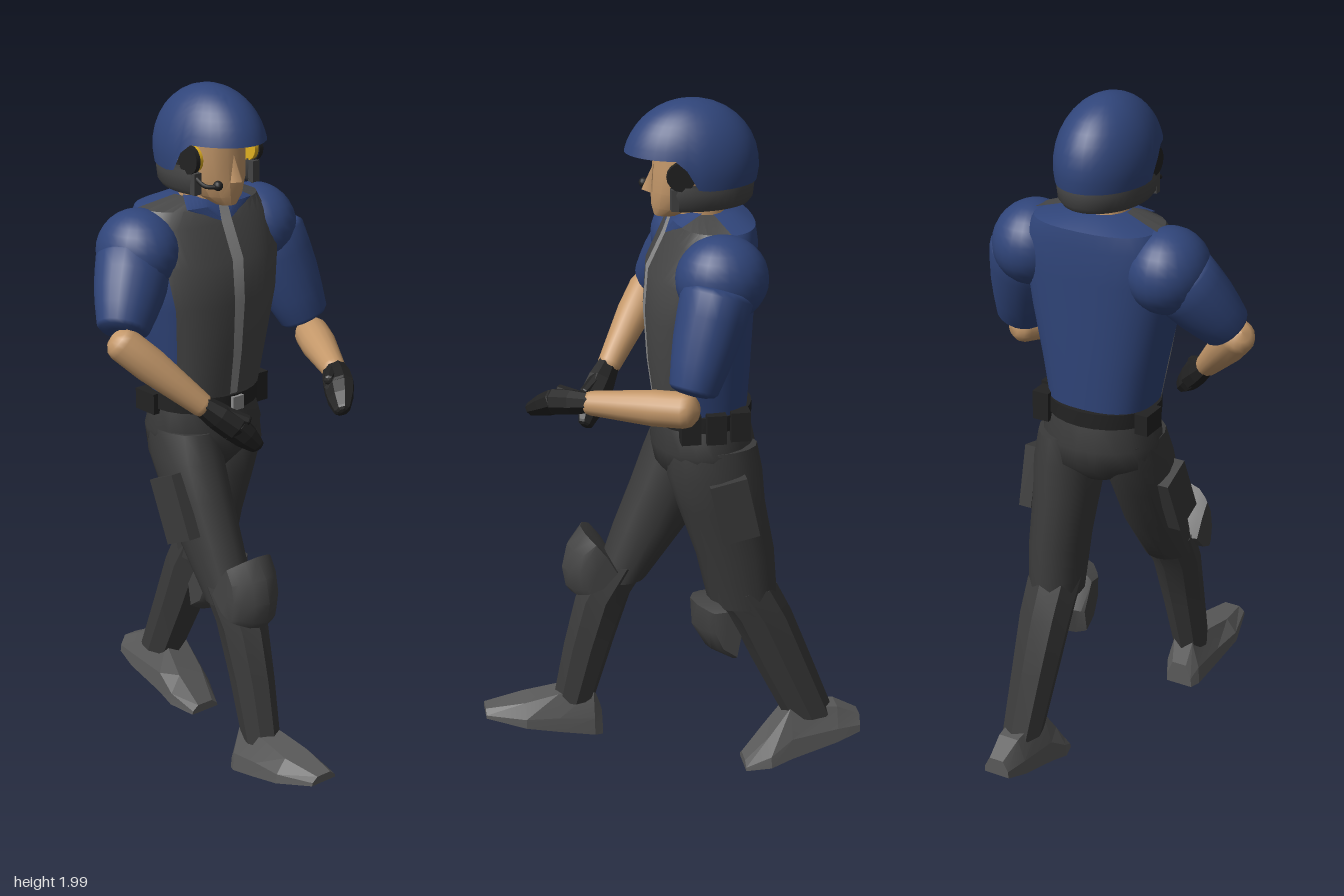
import * as THREE from 'three';
import { toCreasedNormals } from 'three/addons/utils/BufferGeometryUtils.js';

const V = (x, y, z) => new THREE.Vector3(x, y, z);
const mat = (color, extra = {}) => new THREE.MeshStandardMaterial({ color, ...extra });
const BLUE = 0x30457a, VEST = 0x474747, TROUSERS = 0x3a3a3a, PAD = 0x444444, BOOT = 0x5a5a5a,
  BLACK = 0x222222, SKIN = 0xc4986a, YELLOW = 0xe0b020, ZIP = 0x8c8c8c;

// Skin a list of rings; closed rings get end caps and are turned to face outwards
function skin(rings, { open = false, crease = 0.7 } = {}) {
  const n = rings[0].length, pos = rings.flat(), idx = [];
  for (let r = 0; r < rings.length - 1; r++)
    for (let i = 0; i < (open ? n - 1 : n); i++) {
      const j = (i + 1) % n, a = r * n + i, b = r * n + j, c = a + n, d = b + n;
      idx.push(a, c, b, b, c, d);
    }
  if (!open) [0, rings.length - 1].forEach((r, end) => {
    const mid = V(0, 0, 0);
    rings[r].forEach(p => mid.addScaledVector(p, 1 / n));
    const m = pos.push(mid) - 1;
    for (let i = 0; i < n; i++) {
      const a = r * n + i, b = r * n + (i + 1) % n;
      idx.push(...(end ? [a, m, b] : [a, b, m]));
    }
  });
  let volume = 0;
  for (let i = 0; i < idx.length; i += 3)
    volume += pos[idx[i]].dot(V(0, 0, 0).crossVectors(pos[idx[i + 1]], pos[idx[i + 2]]));
  if (!open && volume < 0) idx.reverse();
  const g = new THREE.BufferGeometry().setFromPoints(pos);
  g.setIndex(idx);
  return toCreasedNormals(g, crease);
}

// Level cross-section [x, y, z, rx, rz]; degrees run from the left side (0) via the front (90)
function ring([x, y, z, rx, rz], n, from = 0, to = 360, grow = 1, power = 1) {
  const full = to - from === 360, pts = [];
  const bend = v => Math.sign(v) * Math.abs(v) ** power;
  for (let i = 0; i < n; i++) {
    const a = THREE.MathUtils.degToRad(from + (to - from) * i / (full ? n : n - 1));
    pts.push(V(x + rx * grow * bend(Math.cos(a)), y, z + rz * grow * bend(Math.sin(a))));
  }
  return pts;
}

export function createModel() {
  const model = new THREE.Group();
  const add = (name, geometry, color, extra) => {
    const mesh = new THREE.Mesh(geometry, mat(color, extra));
    mesh.name = name;
    model.add(mesh);
    return mesh;
  };
  const column = (name, rows, n, color, crease) =>
    add(name, skin(rows.map(r => ring(r, n)), { crease }), color);
  const box = (name, p, size, color, rot = [0, 0, 0]) => {
    const m = add(name, new THREE.BoxGeometry(...size), color);
    m.position.set(...p);
    m.rotation.set(...rot);
    return m;
  };
  // Round limb from a to b with evenly spaced radii and rounded ends
  const limb = (name, a, b, radii, color, n = 16, flat = 1, round = 0.5) => {
    const A = V(...a), dir = V(...b).sub(A), len = dir.length(), last = radii.length - 1;
    const cap = (r, y, s, list) => list.map(t =>
      new THREE.Vector2(r * Math.cos(t), y + s * round * r * Math.sin(t)));
    const pts = [...cap(radii[0], 0, -1, [1.5707, 1, 0.5]),
      ...radii.map((r, i) => new THREE.Vector2(r, len * i / last)),
      ...cap(radii[last], len, 1, [0.5, 1, 1.5707])];
    const m = add(name, new THREE.LatheGeometry(pts, n), color, { flatShading: n < 10 });
    m.position.copy(A);
    m.quaternion.setFromUnitVectors(V(0, 1, 0), dir.normalize());
    m.scale.z = flat;
    return m;
  };

  // Torso, with vest, collar and zip as shallow layers over its front
  const torso = [[.015, 1.11, -.08, .15, .125], [.015, 1.25, -.075, .175, .138], [.015, 1.4, -.073, .208, .145],
    [.015, 1.52, -.08, .225, .143], [.015, 1.62, -.105, .215, .122], [.015, 1.665, -.11, .185, .112],
    [.015, 1.69, -.1, .08, .07]];
  add('shirt', skin(torso.map(r => ring(r, 32, 0, 360, 1, .8))), BLUE);
  const layer = (name, rows, starts, grow, color) => add(name, skin(rows.map((r, i) => {
    const s = [...r];
    s[1] += (grow - 1) * .2;
    return ring(s, 17, starts[i], 180 - starts[i], grow, .8);
  }), { open: true }), color, { side: THREE.DoubleSide });
  layer('vest', torso, [15, 28, 35, 32, 12, -6, 0], 1.025, VEST);
  layer('collar', torso.slice(4), [89, 58, 20], 1.045, BLUE);
  layer('zip', torso.slice(0, 6), Array(6).fill(87.5), 1.055, ZIP);

  // Belt with buckle and pouches
  column('belt', [[.015, 1.09, -.08, .165, .143], [.015, 1.135, -.08, .165, .143]], 24, BLACK);
  box('buckle', [.018, 1.11, .062], [.04, .04, .02], ZIP);
  for (const z of [-.025, -.095, -.165])
    box('beltPouch', [.175 - Math.abs(z + .08) * .2, 1.105, z], [.05, .085, .055], BLACK);
  box('beltPouch', [-.145, 1.105, -.12], [.04, .06, .08], BLACK);

  // Neck and head
  column('neck', [[.015, 1.64, -.08, .075, .075], [.015, 1.7, -.072, .07, .07], [.015, 1.76, -.06, .065, .065]], 16, SKIN);
  column('head', [[.015, 1.68, .015, .03, .036], [.015, 1.705, -.015, .062, .073], [.015, 1.75, -.035, .085, .095],
    [.015, 1.81, -.045, .095, .1], [.015, 1.88, -.05, .095, .1]], 14, SKIN, .5);
  const nose = add('nose', new THREE.ConeGeometry(.022, .075, 4), SKIN);
  nose.position.set(.015, 1.785, .058);
  nose.rotation.x = -.15;

  // Helmet dome, whose rim climbs from the nape to the brow
  const dome = [];
  for (let k = 0; k <= 10; k++) {
    const row = [];
    for (let i = 0; i <= 36; i++) {
      const a = i / 36 * Math.PI * 2;
      const rim = 1.775 + .085 * THREE.MathUtils.smoothstep(Math.sin(a), -.05, .3);
      const low = Math.asin((rim - 1.82) / .18);
      const e = low + (Math.PI / 2 - low) * k / 10;
      row.push(V(.018 + .135 * Math.cos(e) * Math.cos(a), 1.82 + .18 * Math.sin(e), -.05 + .187 * Math.cos(e) * Math.sin(a)));
    }
    dome.push(row);
  }
  add('helmet', skin(dome, { open: true, crease: 1 }), BLUE, { side: THREE.DoubleSide });

  // Padded guard round the nape and ears
  const guard = [[1.785, .1, .14], [1.73, .1, .14], [1.715, .112, .155], [1.73, .123, .166], [1.765, .127, .17], [1.785, .124, .166]];
  add('napeGuard', skin(guard.map(([y, rx, rz]) => ring([.018, y, -.055, rx, rz], 28, 154, 386)), { open: true }),
    PAD, { side: THREE.DoubleSide });

  // Headset
  for (const s of [-1, 1]) {
    box('guardEnd', [.018 + s * .105, 1.75, .012], [.024, .06, .02], PAD);
    for (const [name, x, r, color] of [['earCup', .1, .036, YELLOW], ['earCupShell', .113, .04, BLACK]]) {
      const cup = add(name, new THREE.CylinderGeometry(r, r, .014, 16), color);
      cup.rotation.z = Math.PI / 2;
      cup.position.set(.018 + s * x, 1.815, -.005);
    }
  }
  const boom = new THREE.CatmullRomCurve3([V(-.09, 1.77, .01), V(-.085, 1.75, .05), V(-.06, 1.748, .07)]);
  add('microphoneBoom', new THREE.TubeGeometry(boom, 8, .006, 6), BLACK);
  add('microphone', new THREE.SphereGeometry(.014, 10, 8), BLACK).position.set(-.055, 1.75, .068);

  // Arms: shoulder, sleeve, forearm, gloved hand
  const arms = [
    { shoulder: [.225, 1.555, -.1], sleeve: [[.262, 1.52, -.08], [.332, 1.285, -.005]], elbow: [.343, 1.23, .02],
      wrist: [.21, 1.215, .255], knuckles: [.145, 1.2, .345], tips: [.1, 1.165, .405], thumb: [.12, 1.225, .33] },
    { shoulder: [-.195, 1.555, -.1], sleeve: [[-.225, 1.53, -.085], [-.327, 1.385, -.01]], elbow: [-.347, 1.35, .015],
      wrist: [-.185, 1.175, .15], knuckles: [-.11, 1.105, .205], tips: [-.06, 1.05, .235], thumb: [-.09, 1.13, .235] }];
  for (const a of arms) {
    const ball = add('shoulder', new THREE.SphereGeometry(1, 24, 16), BLUE);
    ball.position.set(...a.shoulder);
    ball.scale.set(.115, .12, .127);
    limb('sleeve', ...a.sleeve, [.1, .096, .09, .08, .068], BLUE, 20, 1.08, .3);
    limb('forearm', a.elbow, a.wrist, [.05, .05, .042, .034], SKIN, 16, 1, .8);
    limb('gloveCuff', a.wrist, a.knuckles, [.034, .044, .046], BLACK, 8, .8);
    limb('gloveFingers', a.knuckles, a.tips, [.046, .04, .026], BLACK, 8, .75);
    limb('gloveThumb', a.wrist, a.thumb, [.02, .02, .015], BLACK, 8);
  }

  // Hips
  column('hips', [[.015, 1.1, -.08, .155, .135], [.02, 1.02, -.085, .178, .148], [.018, .96, -.09, .165, .14],
    [.015, .9, -.08, .07, .08]], 20, TROUSERS, 1);

  // Legs: smooth thigh, faceted shin
  column('leftThigh', [[.108, 1.03, -.1, .085, .125], [.11, .95, -.105, .094, .136], [.11, .85, -.125, .09, .125],
    [.112, .7, -.165, .082, .113], [.112, .54, -.19, .075, .1]], 16, TROUSERS, 1);
  column('leftShin', [[.113, .59, -.185, .078, .102], [.113, .5, -.24, .076, .092], [.112, .35, -.305, .066, .086],
    [.11, .16, -.39, .055, .075]], 8, TROUSERS, .3);
  column('rightThigh', [[-.07, 1.03, -.075, .085, .12], [-.074, .95, -.05, .092, .125], [-.074, .85, -.005, .088, .115],
    [-.073, .72, .053, .08, .108], [-.072, .56, .14, .07, .075]], 16, TROUSERS, 1);
  column('rightShin', [[-.072, .61, .13, .074, .085], [-.072, .5, .192, .068, .08], [-.073, .35, .235, .058, .073],
    [-.076, .17, .28, .05, .062]], 8, TROUSERS, .3);

  // Thigh pockets
  box('leftThighPocket', [.2, .865, -.145], [.04, .18, .105], TROUSERS, [.22, 0, 0]);
  box('rightThighPocket', [-.165, .82, .01], [.04, .19, .105], TROUSERS, [-.42, 0, 0]);

  // Knee pads: a side profile [z, y] swept across x, shrinking toward an anchor at both sides
  const pad = (name, x, profile, [az, ay]) => add(name, skin([-1, -.85, -.5, 0, .5, .85, 1].map(u => {
    const k = 1 - .42 * u * u;
    return profile.map(([z, y]) => V(x + u * .082, ay + (y - ay) * (1 - .25 * u * u), az + (z - az) * k));
  })), PAD);
  pad('rightKneePad', -.073, [[.255, .725], [.295, .67], [.31, .6], [.3, .54], [.285, .52], [.22, .54], [.15, .6], [.2, .67]], [.17, .61]);
  pad('leftKneePad', .115, [[-.1, .565], [-.035, .562], [-.04, .48], [-.08, .41], [-.15, .372], [-.17, .46]], [-.17, .49]);

  // Boots: upright slices from heel to toe [z, sole y, top y, half width]
  const boot = (name, x, slices) => add(name, skin(slices.map(([z, lo, hi, w, dx = 0]) => {
    const mid = lo + (hi - lo) * .4;
    return [[-w, lo], [w, lo], [w * .95, mid], [w * .55, hi], [-w * .55, hi], [-w * .95, mid]]
      .map(([px, y]) => V(x + dx + px, y, z));
  }), { crease: .2 }), BOOT);
  boot('rightBoot', -.078, [[.2, .06, .13, .042], [.225, .066, .2, .056], [.33, .09, .2, .066],
    [.43, .115, .182, .076], [.545, .142, .165, .044]]);
  boot('leftBoot', .115, [[-.54, .1, .15, .04, -.008], [-.47, .08, .185, .056, -.006], [-.33, .045, .2, .066],
    [-.265, .028, .115, .078, .004], [-.195, .01, .035, .05, .004]]);

  return model;
}
